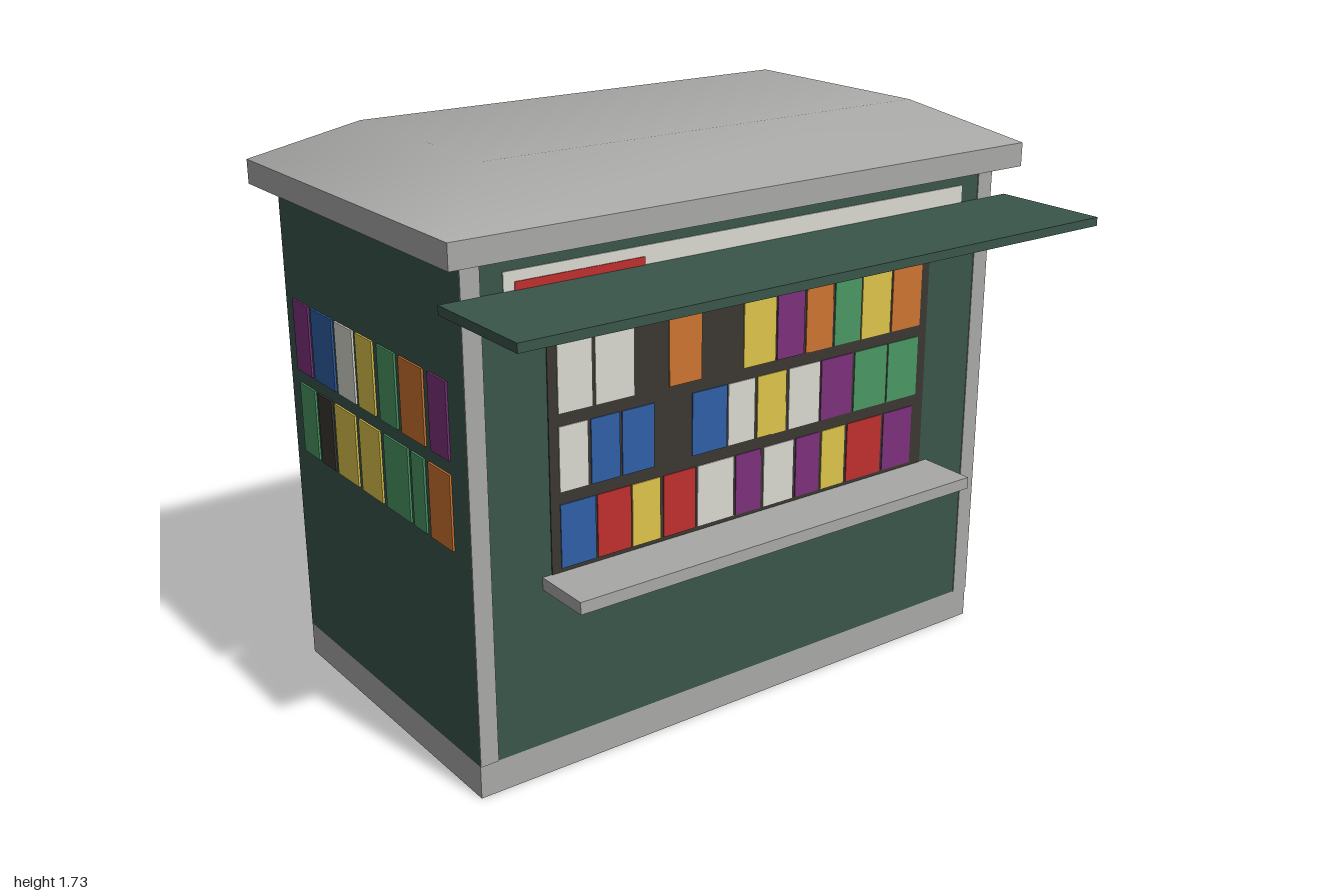
import * as THREE from 'three';

const mat = (name, color) => {
  const m = new THREE.MeshStandardMaterial({ color });
  m.name = name;
  return m;
};

export function createModel() {
  const M = {
    wall: mat('wallGreen', 0x3a554b), gray: mat('trimGray', 0xa8a9a7),
    W: mat('paperWhite', 0xd9d8d0), R: mat('red', 0xc03030), K: mat('shelfDark', 0x3b3832),
    B: mat('blue', 0x305fa6), Y: mat('yellow', 0xddc44b), O: mat('orange', 0xcd7431),
    P: mat('purple', 0x7d317c), G: mat('green', 0x4a9763),
  };
  const kiosk = new THREE.Group();
  kiosk.name = 'kiosk';

  // Box given by its min and max on each axis
  const box = (parent, name, m, x0, x1, y0, y1, z0, z1) => {
    const mesh = new THREE.Mesh(new THREE.BoxGeometry(x1 - x0, y1 - y0, z1 - z0), m);
    mesh.position.set((x0 + x1) / 2, (y0 + y1) / 2, (z0 + z1) / 2);
    mesh.name = name;
    parent.add(mesh);
  };
  const HW = 0.937, ZF = 0.375, ZB = -0.685, TOP = 1.535;

  // Walls and floor
  box(kiosk, 'walls', M.wall, -HW, HW, 0.1, TOP, ZB, ZF);
  box(kiosk, 'floor', M.gray, -HW + 0.003, HW - 0.003, 0.096, 0.1, ZB + 0.003, ZF - 0.003);

  // Hollow plinth band, open underneath
  const rect = (C, x, z0, z1) => new C([[-x, z0], [x, z0], [x, z1], [-x, z1]].map(p => new THREE.Vector2(...p)));
  const ring = rect(THREE.Shape, HW, -ZF, -ZB);
  ring.holes.push(rect(THREE.Path, HW - 0.004, -ZF + 0.004, -ZB - 0.004));
  const plinth = new THREE.Mesh(new THREE.ExtrudeGeometry(ring, { depth: 0.1, bevelEnabled: false }), M.gray);
  plinth.rotation.x = -Math.PI / 2;
  plinth.name = 'plinth';
  kiosk.add(plinth);

  // Roof: fascia slab and a softly shaded hipped cap
  box(kiosk, 'roofFascia', M.gray, -1, 1, TOP, 1.608, -0.745, 0.437);
  const corners = (x, y, z0, z1) => [-x, y, z1, x, y, z1, x, y, z0, -x, y, z0];
  const index = [4, 5, 6, 4, 6, 7];
  for (let i = 0; i < 4; i++) {
    const j = (i + 1) % 4;
    index.push(i, j, j + 4, i, j + 4, i + 4);
  }
  const cap = new THREE.BufferGeometry();
  cap.setAttribute('position', new THREE.Float32BufferAttribute(
    [...corners(1, 1.608, -0.745, 0.437), ...corners(0.75, 1.732, -0.497, 0.193)], 3));
  cap.setIndex(index);
  cap.computeVertexNormals();
  const roof = new THREE.Mesh(cap, M.gray);
  roof.name = 'roofCap';
  kiosk.add(roof);

  // Awning and counter
  box(kiosk, 'awning', M.wall, -1, 1, 1.411, 1.437, ZF, 0.748);
  box(kiosk, 'counter', M.gray, -0.72, 0.72, 0.577, 0.614, ZF, 0.562);

  // One group per wall: local x runs to the right as seen from outside, z = 0 is the wall
  const wallFace = (name, angle, x, z) => {
    const g = new THREE.Group();
    g.name = name;
    g.rotation.y = angle;
    g.position.set(x, 0, z);
    kiosk.add(g);
    return g;
  };
  const plate = (g, name, m, x0, x1, y0, y1, t = 0.003) => box(g, name, m, x0, x1, y0, y1, 0, t);
  // Row of magazines, each as [colour key, left, right]
  const row = (g, y0, y1, items) =>
    items.forEach(([c, a, b]) => plate(g, 'magazine', M[c], a, b, y0, y1, 0.006));

  // Front: corner posts, sign and display
  const front = wallFace('frontFace', 0, 0, ZF);
  plate(front, 'cornerPost', M.gray, -HW, -0.88, 0.1, TOP);
  plate(front, 'cornerPost', M.gray, 0.88, HW, 0.1, TOP);
  plate(front, 'signBoard', M.W, -0.813, 0.81, 1.33, 1.49);
  plate(front, 'signPanel', M.R, -0.78, -0.375, 1.364, 1.46, 0.006);
  plate(front, 'displayBack', M.K, -0.69, 0.688, 0.614, 1.318);
  row(front, 1.075, 1.268, [['W', -0.66, -0.55], ['W', -0.54, -0.413], ['O', -0.295, -0.183],
    ['Y', -0.033, 0.084], ['P', 0.09, 0.191], ['O', 0.199, 0.3], ['G', 0.309, 0.41],
    ['Y', 0.416, 0.53], ['O', 0.539, 0.656]]);
  row(front, 0.85, 1.039, [['W', -0.66, -0.567], ['B', -0.557, -0.463], ['B', -0.455, -0.348],
    ['B', -0.215, -0.092], ['W', -0.087, 0.01], ['Y', 0.02, 0.127], ['W', 0.138, 0.255],
    ['P', 0.263, 0.384], ['G', 0.394, 0.523], ['G', 0.53, 0.653]]);
  row(front, 0.626, 0.814, [['B', -0.66, -0.546], ['R', -0.54, -0.428], ['Y', -0.423, -0.327],
    ['R', -0.316, -0.204], ['W', -0.196, -0.065], ['P', -0.057, 0.036], ['W', 0.047, 0.159],
    ['P', 0.17, 0.261], ['Y', 0.271, 0.362], ['R', 0.373, 0.512], ['P', 0.522, 0.64]]);

  // Back: large plain panel
  const back = wallFace('backFace', Math.PI, 0, ZB);
  plate(back, 'backPanel', M.gray, -0.877, 0.877, 0.19, 1.46);

  // Left side (+x), local x = -z
  const left = wallFace('leftFace', Math.PI / 2, HW, 0);
  row(left, 0.98, 1.2, [['B', -0.286, -0.14], ['B', -0.126, -0.021], ['W', -0.007, 0.098],
    ['B', 0.115, 0.213], ['R', 0.231, 0.337], ['O', 0.355, 0.46], ['O', 0.474, 0.602]]);
  row(left, 0.72, 0.94, [['G', -0.286, -0.167], ['G', -0.153, -0.053], ['K', -0.034, 0.08],
    ['P', 0.094, 0.236], ['K', 0.254, 0.392], ['O', 0.41, 0.538], ['P', 0.552, 0.63]]);

  // Right side (-x), local x = z
  const right = wallFace('rightFace', -Math.PI / 2, -HW, 0);
  row(right, 0.98, 1.2, [['P', -0.63, -0.53], ['B', -0.51, -0.375], ['W', -0.355, -0.245],
    ['Y', -0.225, -0.125], ['G', -0.095, 0.005], ['O', 0.03, 0.16], ['P', 0.19, 0.288]]);
  row(right, 0.72, 0.94, [['G', -0.62, -0.52], ['K', -0.5, -0.41], ['Y', -0.39, -0.26],
    ['Y', -0.235, -0.11], ['G', -0.085, 0.055], ['G', 0.075, 0.145], ['O', 0.17, 0.288]]);

  return kiosk;
}
